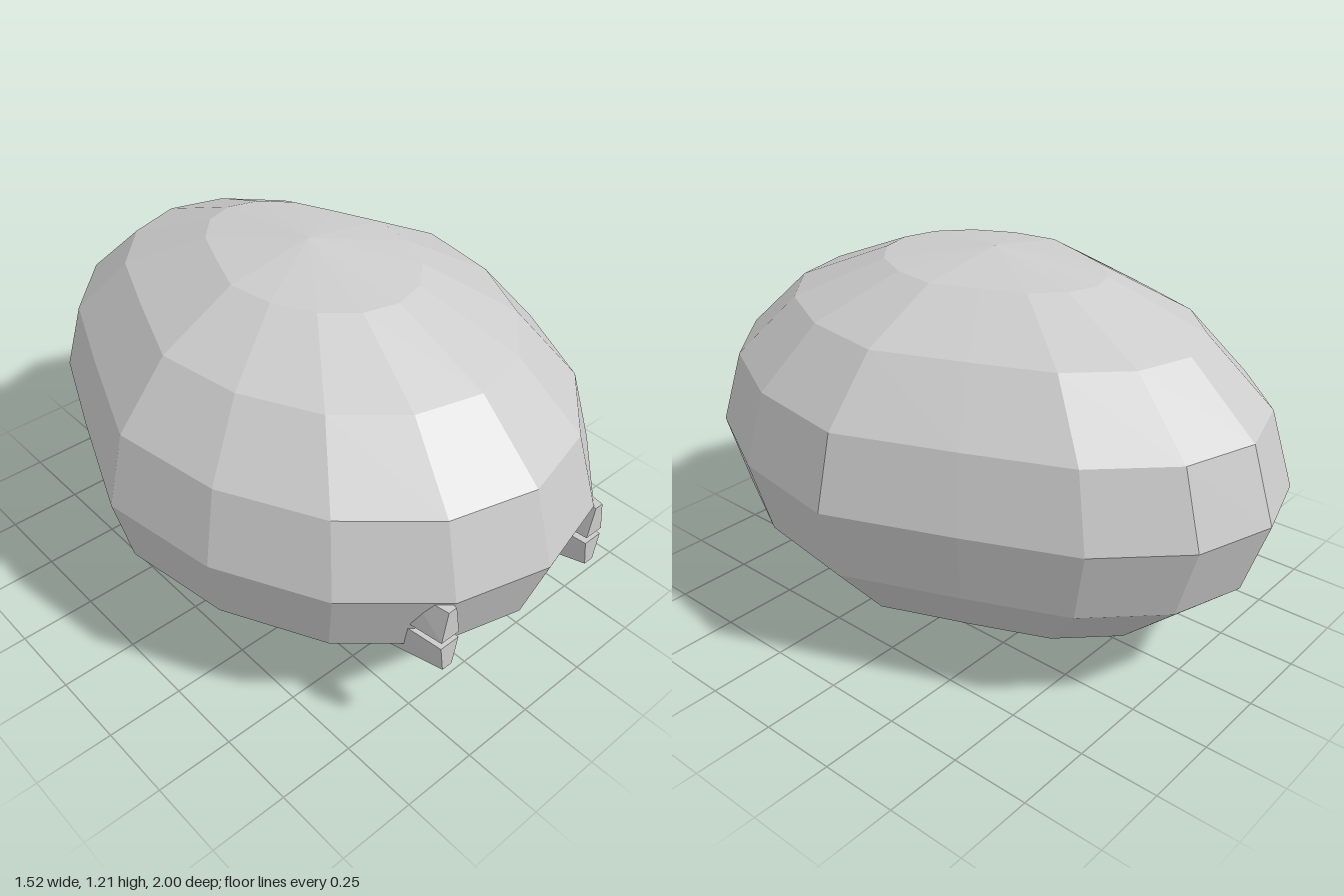
import * as THREE from 'three';
import { ConvexGeometry } from 'three/addons/geometries/ConvexGeometry.js';

const grey = new THREE.MeshStandardMaterial({ color: 0xcccccc, flatShading: true });

// Faceted egg: an ellipsoid whose rear half is narrowed sideways
function makeBody() {
  const indexed = new THREE.SphereGeometry(1, 16, 8);
  const p = indexed.attributes.position;
  for (let i = 0; i < p.count; i++) {
    const z = p.getZ(i);
    const width = z < -0.001 ? 0.654 : 0.76;
    p.setXYZ(i, p.getX(i) * width, 0.6025 + p.getY(i) * 0.6025, z);
  }
  const geometry = indexed.toNonIndexed();
  geometry.computeVertexNormals();
  const body = new THREE.Mesh(geometry, grey);
  body.name = 'body';
  return body;
}

// Tapered block; each level is [y, z, inner x, outer x]
function makeBlock(name, side, edges) {
  const points = edges.flatMap(([y, z, inner, outer]) => [
    new THREE.Vector3(side * inner, y, z),
    new THREE.Vector3(side * outer, y, z),
  ]);
  const mesh = new THREE.Mesh(new ConvexGeometry(points), grey);
  mesh.name = name;
  return mesh;
}

export function createModel() {
  const model = new THREE.Group();
  model.name = 'eggCreature';
  model.add(makeBody());

  // A pair of two-part blocks set into the front
  for (const [label, side] of [['left', 1], ['right', -1]]) {
    const eye = new THREE.Group();
    eye.name = label + 'Eye';
    eye.add(
      makeBlock('upperEyelid', side, [
        [0.595, 0.93, 0.295, 0.325],
        [0.49, 0.93, 0.275, 0.343],
        [0.595, 0.8, 0.288, 0.345],
        [0.485, 0.8, 0.27, 0.357],
      ]),
      makeBlock('lowerEyelid', side, [
        [0.468, 0.93, 0.275, 0.343],
        [0.375, 0.93, 0.292, 0.328],
        [0.46, 0.76, 0.27, 0.357],
        [0.31, 0.7, 0.285, 0.335],
      ]),
    );
    model.add(eye);
  }
  return model;
}
